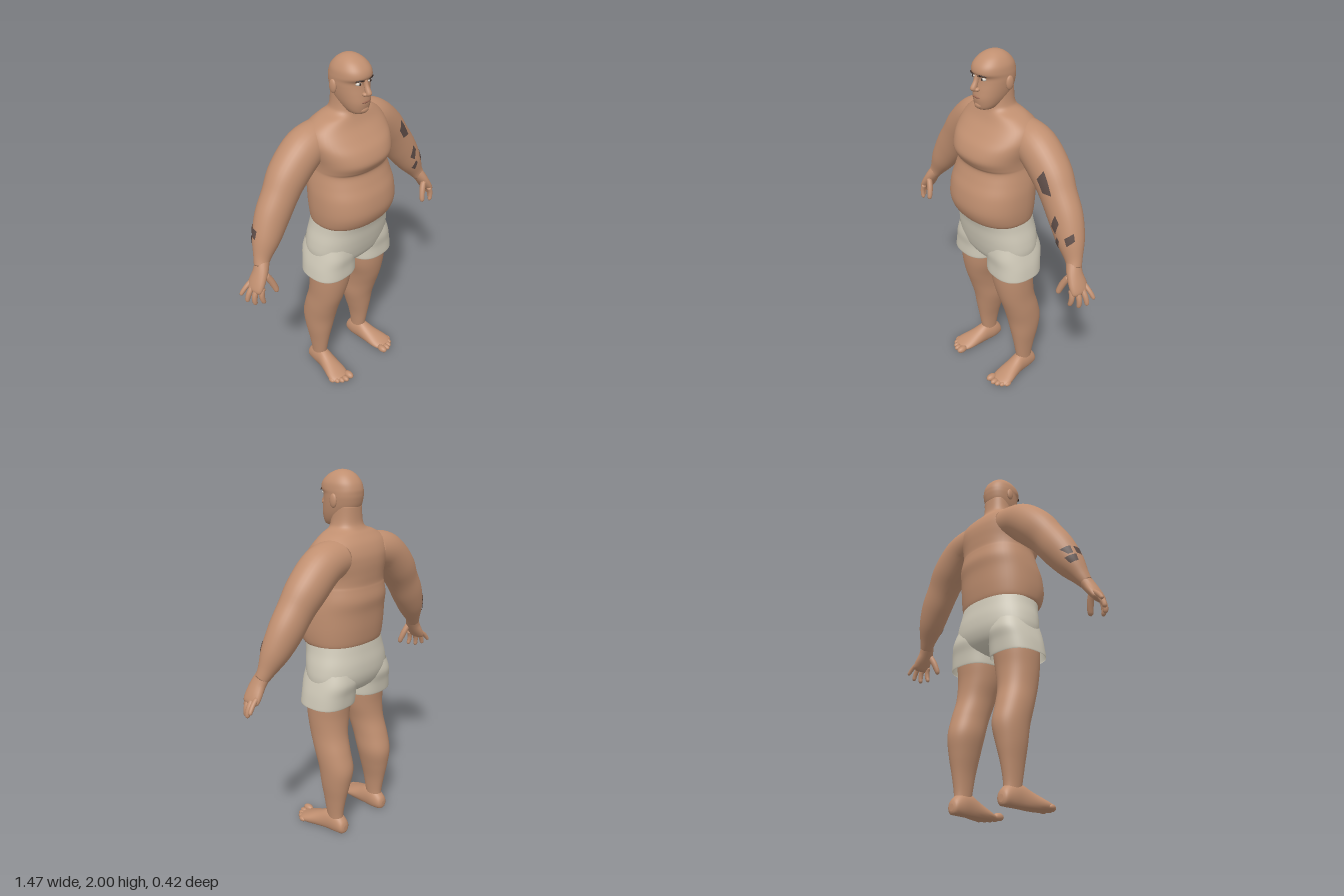
import * as THREE from 'three';

const mat = (name, color, side = THREE.FrontSide) => {
  const m = new THREE.MeshStandardMaterial({ color, side });
  m.name = name;
  return m;
};
const V = (x, y, z) => new THREE.Vector3(x, y, z);
const X = V(1, 0, 0), Y = V(0, 1, 0), Z = V(0, 0, 1);

// Smooth interpolation of key rows [x, y, z, radiusN, radiusB]
function sample(keys, t) {
  const last = keys.length - 1;
  const i = Math.min(Math.floor(t), last - 1), f = t - i;
  const k = (j) => keys[Math.max(0, Math.min(last, j))];
  const [a, b, c, d] = [k(i - 1), k(i), k(i + 1), k(i + 2)];
  return b.map((_, n) => b[n] + 0.5 * f * (c[n] - a[n] + f * (2 * a[n] - 5 * b[n] + 4 * c[n] - d[n]
    + f * (3 * (b[n] - c[n]) + d[n] - a[n]))));
}

// Point on a limb: t along its keys, angle a around it
function limbPoint(keys, t, a, { ref = Z, axis = null, n = 2, lift = 0 } = {}) {
  const s = sample(keys, t), last = keys.length - 1;
  const p = sample(keys, Math.max(0, t - 0.05)), q = sample(keys, Math.min(last, t + 0.05));
  const T = axis || V(q[0] - p[0], q[1] - p[1], q[2] - p[2]).normalize();
  const N = ref.clone().cross(T).normalize(), B = T.clone().cross(N);
  const pw = (v) => Math.sign(v) * Math.pow(Math.abs(v), 2 / n);
  return V(s[0], s[1], s[2])
    .addScaledVector(N, (Math.max(s[3], 0.001) + lift) * pw(Math.cos(a)))
    .addScaledVector(B, (Math.max(s[4], 0.001) + lift) * pw(Math.sin(a)));
}

// Indexed grid; optionally wrapped around, with end caps
function grid(rows, cols, fn, wrap, caps) {
  const pos = [], idx = [], w = wrap ? cols : cols + 1;
  for (let i = 0; i <= rows; i++)
    for (let j = 0; j < w; j++) pos.push(...fn(i / rows, j / cols).toArray());
  for (let i = 0; i < rows; i++)
    for (let j = 0; j < cols; j++) {
      const a = i * w + j, b = i * w + (j + 1) % w;
      idx.push(a, b, b + w, a, b + w, a + w);
    }
  if (caps) for (const r of [0, rows]) {
    const c = V(0, 0, 0), id = pos.length / 3;
    for (let j = 0; j < w; j++) c.add(fn(r / rows, j / cols));
    pos.push(...c.divideScalar(w).toArray());
    for (let j = 0; j < w; j++) {
      const a = r * w + j, b = r * w + (j + 1) % w;
      idx.push(...(r ? [a, b, id] : [b, a, id]));
    }
  }
  const g = new THREE.BufferGeometry();
  g.setAttribute('position', new THREE.Float32BufferAttribute(pos, 3));
  g.setIndex(idx);
  g.computeVertexNormals();
  return g;
}
const limb = (keys, opt = {}) => grid((keys.length - 1) * (opt.steps || 5), opt.sides || 32,
  (u, v) => limbPoint(keys, u * (keys.length - 1), v * Math.PI * 2, opt), true, !opt.open);

// Upright form from rows [y, halfWidth, zFront, zBack, centreX]
const stack = (rows, opt = {}) => limb(
  rows.map(([y, w, f, b, x = 0]) => [x, y, (f + b) / 2, w, (f - b) / 2]),
  { axis: Y, n: 2.3, sides: 48, ...opt });

const ball = (x, y, z, rx, ry = rx, rz = rx) =>
  new THREE.SphereGeometry(1, 20, 14).scale(rx, ry, rz).translate(x, y, z);

function mirrored(geo) {
  const g = geo.clone().scale(-1, 1, 1), ix = g.index;
  for (let i = 0; i < ix.count; i += 3) {
    const b = ix.getX(i + 1);
    ix.setX(i + 1, ix.getX(i + 2));
    ix.setX(i + 2, b);
  }
  g.computeVertexNormals();
  return g;
}

export function createModel() {
  const root = new THREE.Group();
  root.name = 'figure';
  const skin = mat('skin', 0xc08f70);
  const cloth = mat('shortsCloth', 0xcfc9b8, THREE.DoubleSide);
  const ink = mat('tattooInk', 0x5e4d48, THREE.DoubleSide);
  const white = mat('eyeWhite', 0xd8d2c8);
  const dark = mat('darkBrown', 0x3a2a24);
  const lip = mat('lip', 0x9c6a55);
  const add = (name, geo, m = skin) => {
    const mesh = new THREE.Mesh(geo, m);
    mesh.name = name;
    root.add(mesh);
  };
  const pair = (name, geo, m) => {
    add(name + 'Left', geo, m);
    add(name + 'Right', mirrored(geo), m);
  };

  // Torso with belly, chest and neck
  add('torso', stack([
    [1.05, 0.2, 0.11, -0.15], [1.1, 0.218, 0.15, -0.168], [1.13, 0.232, 0.188, -0.18],
    [1.2, 0.24, 0.213, -0.19], [1.29, 0.238, 0.204, -0.197], [1.36, 0.228, 0.178, -0.208],
    [1.42, 0.216, 0.158, -0.2], [1.445, 0.214, 0.172, -0.197], [1.49, 0.219, 0.19, -0.2],
    [1.55, 0.234, 0.168, -0.203], [1.6, 0.242, 0.125, -0.197], [1.65, 0.222, 0.082, -0.175],
    [1.69, 0.165, 0.06, -0.14], [1.715, 0.1, 0.052, -0.117], [1.75, 0.081, 0.048, -0.104],
    [1.83, 0.075, 0.04, -0.1]]));

  // Head
  add('head', stack([
    [1.715, 0.022, 0.085, 0.02], [1.725, 0.046, 0.1, 0], [1.745, 0.062, 0.107, -0.03],
    [1.78, 0.076, 0.112, -0.075], [1.82, 0.085, 0.107, -0.1], [1.86, 0.09, 0.1, -0.11],
    [1.885, 0.091, 0.1, -0.112], [1.908, 0.091, 0.116, -0.111], [1.94, 0.085, 0.108, -0.1],
    [1.97, 0.066, 0.08, -0.076], [1.99, 0.041, 0.045, -0.047], [1.998, 0.018, 0.02, -0.02],
    [2, 0.002, 0.002, -0.002]], { n: 2.2 }));
  add('nose', limb([[0, 1.9, 0.102, 0.008, 0.01], [0, 1.87, 0.108, 0.011, 0.014],
    [0, 1.838, 0.123, 0.015, 0.018], [0, 1.824, 0.12, 0.014, 0.016], [0, 1.816, 0.112, 0.003, 0.004]],
  { axis: Y.clone().negate(), sides: 16 }));
  pair('nostril', ball(0.017, 1.829, 0.113, 0.011, 0.01, 0.014));
  pair('ear', ball(0.095, 1.855, -0.022, 0.012, 0.036, 0.022).rotateY(0));
  pair('eye', ball(0.036, 1.882, 0.09, 0.016, 0.009, 0.013), white);
  pair('iris', ball(0.036, 1.882, 0.1, 0.006, 0.007, 0.0045), dark);
  pair('eyebrow', limb([[0.016, 1.896, 0.112, 0.002, 0.003], [0.036, 1.902, 0.11, 0.004, 0.004],
    [0.06, 1.898, 0.094, 0.002, 0.003]], { sides: 8 }), dark);
  add('mouth', ball(0, 1.785, 0.108, 0.029, 0.006, 0.007), lip);
  add('chin', ball(0, 1.742, 0.092, 0.03, 0.02, 0.02));

  // Arms
  const arm = [[0.12, 1.585, -0.08, 0.095, 0.1], [0.24, 1.555, -0.08, 0.108, 0.106],
    [0.35, 1.46, -0.08, 0.108, 0.102], [0.42, 1.37, -0.072, 0.098, 0.09],
    [0.485, 1.275, -0.065, 0.094, 0.084], [0.545, 1.175, -0.05, 0.075, 0.07],
    [0.59, 1.095, -0.035, 0.047, 0.045], [0.612, 1.055, -0.022, 0.035, 0.038]];
  pair('arm', limb(arm));

  // Hands
  pair('palm', limb([[0.598, 1.08, -0.028, 0.036, 0.038], [0.627, 1.03, -0.013, 0.032, 0.046],
    [0.658, 0.98, -0.01, 0.027, 0.054], [0.677, 0.948, -0.01, 0.02, 0.05],
    [0.684, 0.937, -0.01, 0.006, 0.03]], { sides: 20 }));
  const finger = (name, a, b, bend, r) => {
    const at = (f, s) => [0, 1, 2].map((i) => a[i] + (b[i] - a[i]) * f + (i === 0 ? bend * f * (1 - f) : 0))
      .concat(r * s, r * s);
    pair(name, limb([at(0, 1), at(0.35, 1.05), at(0.7, 0.95), at(0.92, 0.75), at(1, 0.1)], { sides: 10, steps: 3 }));
  };
  finger('indexFinger', [0.655, 0.965, 0.032], [0.655, 0.875, 0.04], 0.05, 0.014);
  finger('middleFinger', [0.67, 0.96, 0.006], [0.69, 0.868, 0.01], 0.05, 0.0145);
  finger('ringFinger', [0.675, 0.965, -0.022], [0.715, 0.88, -0.025], 0.04, 0.014);
  finger('littleFinger', [0.67, 0.975, -0.046], [0.728, 0.91, -0.06], 0.03, 0.012);
  finger('thumb', [0.618, 1.02, 0.015], [0.578, 0.905, 0.048], -0.03, 0.017);

  // Tattoos: four-cornered patches [t, degrees] lying on the arm
  const patch = (c) => grid(8, 8, (u, v) => {
    const at = (i) => (c[0][i] * (1 - v) + c[1][i] * v) * (1 - u) + (c[3][i] * (1 - v) + c[2][i] * v) * u;
    return limbPoint(arm, at(0), at(1) * Math.PI / 180, { lift: 0.003 });
  });
  [[[1.95, 55], [2.1, 85], [2.75, 88], [3.0, 62]],
    [[3.8, 72], [4.25, 105], [4.6, 95], [4.2, 68]],
    [[4.7, 25], [4.85, 62], [5.25, 62], [5.05, 25]],
    [[4.75, 92], [5.0, 125], [5.3, 115], [4.95, 88]]]
    .forEach((c, i) => add('tattooLeft' + (i + 1), patch(c), ink));
  [[[4.5, -75], [4.55, -35], [4.95, -40], [4.9, -60]],
    [[4.95, -80], [5.05, -30], [5.4, -35], [5.35, -75]],
    [[4.6, -25], [4.7, 5], [5.1, 0], [5.0, -25]]]
    .forEach((c, i) => add('tattooRight' + (i + 1), mirrored(patch(c)), ink));

  // Shorts: seat and two open leg sleeves
  add('shortsSeat', stack([
    [0.815, 0.03, 0.02, -0.06], [0.83, 0.13, 0.07, -0.115], [0.87, 0.235, 0.108, -0.165],
    [0.93, 0.256, 0.128, -0.19], [1, 0.25, 0.142, -0.193], [1.07, 0.233, 0.152, -0.183],
    [1.115, 0.225, 0.164, -0.177]], { open: true }), cloth);
  pair('shortsLeg', stack([
    [0.778, 0.137, 0.112, -0.16, 0.147], [0.79, 0.138, 0.114, -0.163, 0.146],
    [0.85, 0.134, 0.113, -0.17, 0.141], [0.91, 0.127, 0.118, -0.182, 0.132],
    [0.97, 0.115, 0.11, -0.17, 0.125]], { open: true, n: 2.5 }), cloth);

  // Legs
  pair('leg', stack([
    [0.03, 0.034, -0.06, -0.155, 0.171], [0.1, 0.037, -0.047, -0.15, 0.172],
    [0.2, 0.049, -0.03, -0.166, 0.172], [0.3, 0.069, -0.012, -0.187, 0.168],
    [0.4, 0.085, 0.006, -0.2, 0.161], [0.5, 0.09, 0.035, -0.176, 0.161],
    [0.6, 0.096, 0.068, -0.147, 0.154], [0.7, 0.111, 0.09, -0.14, 0.143],
    [0.8, 0.119, 0.1, -0.148, 0.138], [0.9, 0.115, 0.1, -0.15, 0.135]], { n: 2.1 }));

  // Feet, flat underneath
  const foot = limb([[0.17, 0.03, -0.178, 0.015, 0.018], [0.17, 0.035, -0.165, 0.035, 0.042],
    [0.17, 0.045, -0.12, 0.044, 0.066], [0.174, 0.045, -0.06, 0.046, 0.068],
    [0.182, 0.033, 0, 0.054, 0.052], [0.192, 0.022, 0.06, 0.064, 0.036],
    [0.197, 0.016, 0.1, 0.062, 0.024], [0.194, 0.014, 0.128, 0.045, 0.014]],
  { ref: Y, axis: Z, sides: 28 });
  const fp = foot.attributes.position;
  for (let i = 0; i < fp.count; i++) fp.setY(i, Math.max(0, fp.getY(i)));
  foot.computeVertexNormals();
  pair('foot', foot);
  [[0.152, 0.138, 0.021], [0.186, 0.142, 0.016], [0.212, 0.132, 0.015], [0.234, 0.114, 0.0145],
    [0.252, 0.09, 0.014]].forEach(([x, z, r], i) =>
    pair('toe' + (i + 1), ball(x, r, z, r, r, r * 1.6)));

  return root;
}
